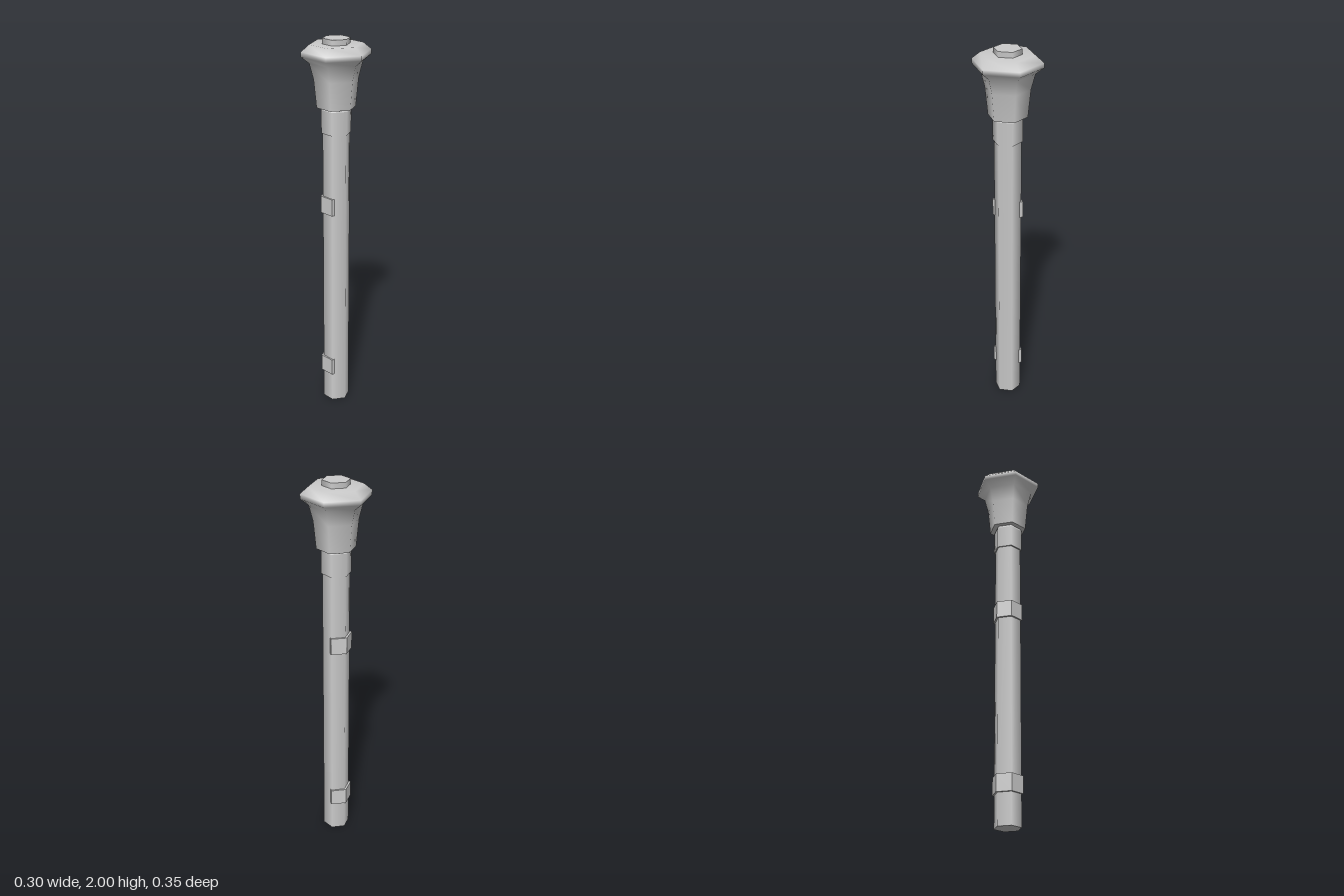
import * as THREE from 'three';

const grey = new THREE.MeshStandardMaterial({ color: 0xcccccc });

export function createModel() {
  const model = new THREE.Group();
  const add = (name, geometry, y) => {
    const mesh = new THREE.Mesh(geometry, grey);
    mesh.name = name;
    mesh.position.y = y;
    model.add(mesh);
  };
  const lathe = (points) =>
    new THREE.LatheGeometry(points.map(([r, y]) => new THREE.Vector2(r, y)), 6);

  // Hexagonal pole, corners towards front and back
  add('pole', new THREE.CylinderGeometry(0.07, 0.07, 1.7, 6), 0.85);

  // Half bands wrapped around the right side of the pole
  const band = new THREE.Shape([
    [0.011, 0.063], [0, 0.079], [-0.071, 0.04],
    [-0.071, -0.04], [0, -0.079], [0.011, -0.063],
  ].map(([x, z]) => new THREE.Vector2(x, z)));
  [['lowerBand', 0.165], ['upperBand', 1.1]].forEach(([name, y]) => {
    const geometry = new THREE.ExtrudeGeometry(band, { depth: 0.09, bevelEnabled: false });
    add(name, geometry.rotateX(-Math.PI / 2), y);
  });

  // Collar under the head, with a small chamfer at its top
  add('collar', new THREE.CylinderGeometry(0.077, 0.077, 0.12, 6), 1.585);
  add('collarChamfer', new THREE.CylinderGeometry(0.07, 0.077, 0.015, 6, 1, true), 1.6525);

  // Flared head with a rounded rim
  add('head', lathe([
    [0.1, 1.657], [0.114, 1.8], [0.135, 1.88], [0.176, 1.913], [0.176, 1.938],
    [0.135, 1.972], [0, 1.972],
  ]), 0);
  add('headUnderside', new THREE.CircleGeometry(0.1, 6, Math.PI / 2).rotateX(Math.PI / 2), 1.657);

  // Small plug on top
  add('topPlug', new THREE.CylinderGeometry(0.07, 0.07, 0.04, 6), 1.98);

  return model;
}
